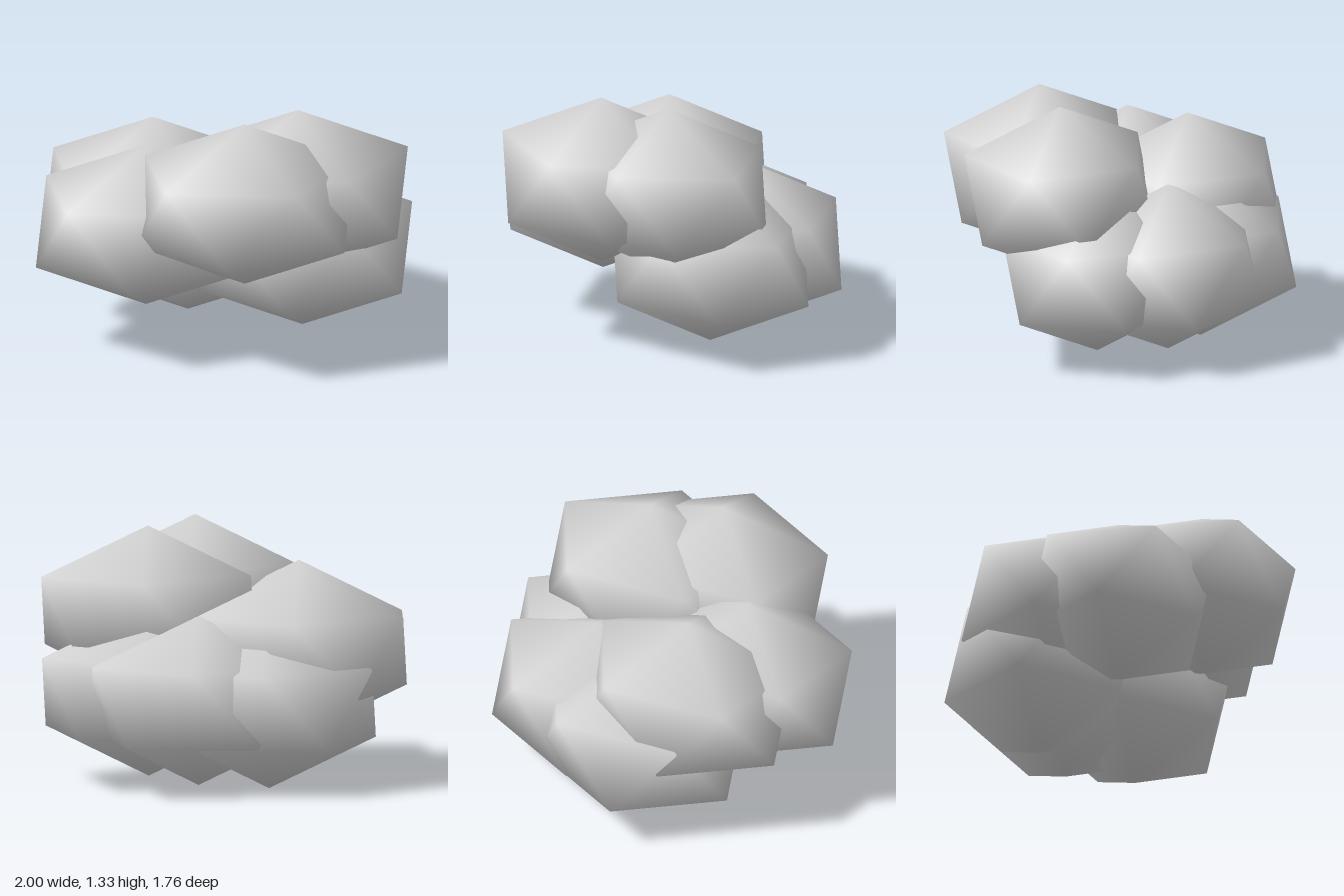
import * as THREE from 'three';
import { mergeVertices } from 'three/addons/utils/BufferGeometryUtils.js';

// Smooth-shaded icosahedron standing on a vertex, flattened into a puff
function puffGeometry() {
  const raw = new THREE.IcosahedronGeometry(1, 0);
  raw.deleteAttribute('normal');
  raw.deleteAttribute('uv');
  const geometry = mergeVertices(raw, 1e-4);
  geometry.rotateZ(-Math.atan2(2, 1 + Math.sqrt(5)));
  geometry.computeVertexNormals();
  geometry.scale(0.65, 0.443, 0.547);
  return geometry;
}

export function createModel() {
  const group = new THREE.Group();
  group.name = 'puffCluster';

  const paleGrey = new THREE.MeshStandardMaterial({ color: 0xd4d4d4 });
  paleGrey.name = 'paleGrey';

  const geometry = puffGeometry();

  // Centre of each overlapping puff
  const puffs = {
    frontTopPuff: [0.04, 0.887, 0.42],
    leftTopPuff: [0.36, 0.868, 0.22],
    rightPuff: [-0.415, 0.675, 0.07],
    backRightPuff: [-0.31, 0.69, -0.28],
    backLeftPuff: [0.26, 0.465, -0.335],
    leftLowerPuff: [0.425, 0.475, 0],
    backLowerPuff: [-0.1, 0.443, -0.41],
  };

  for (const [name, centre] of Object.entries(puffs)) {
    const puff = new THREE.Mesh(geometry, paleGrey);
    puff.name = name;
    puff.position.set(...centre);
    group.add(puff);
  }
  return group;
}
